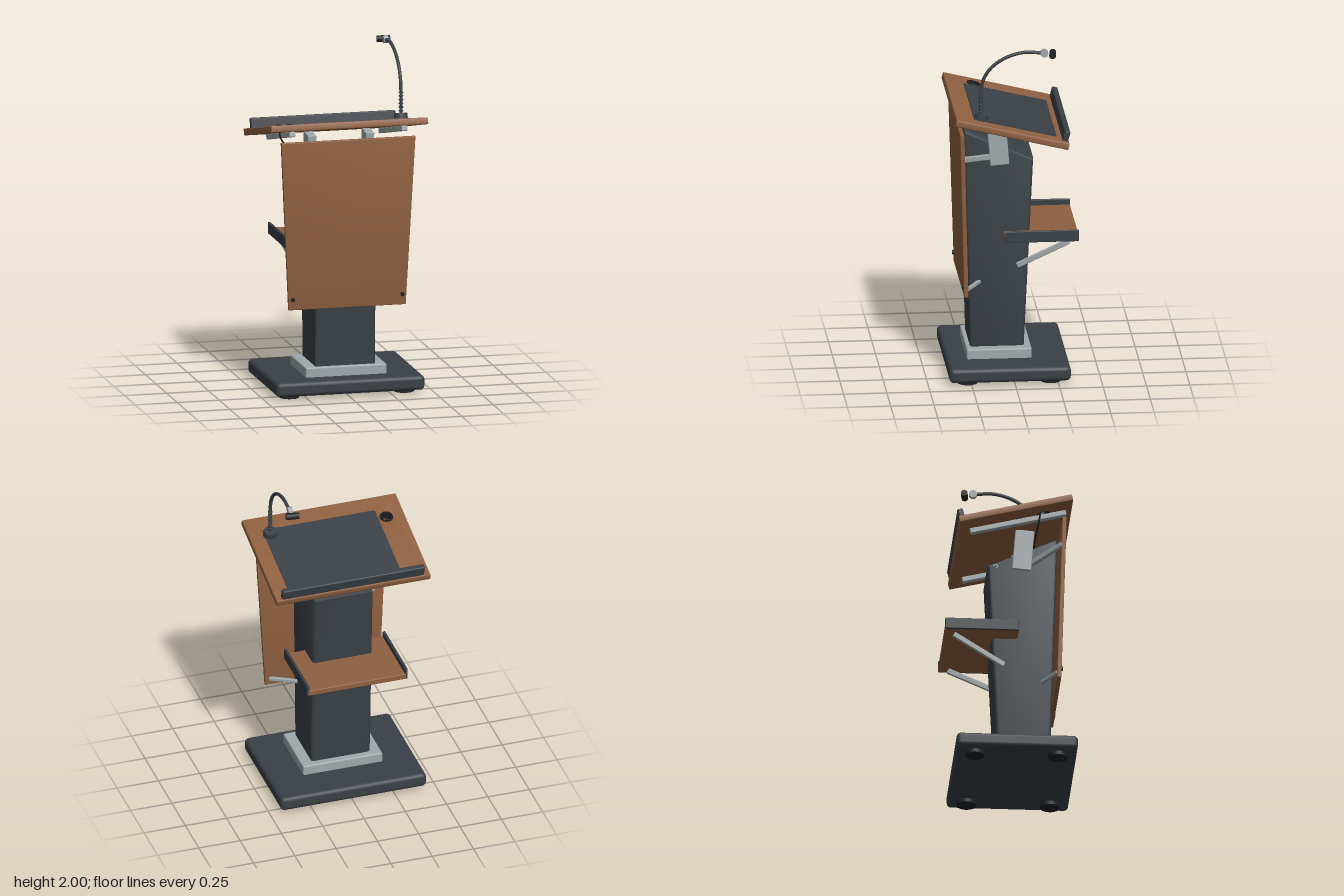
import * as THREE from 'three';
import { RoundedBoxGeometry } from 'three/addons/geometries/RoundedBoxGeometry.js';
import { toCreasedNormals } from 'three/addons/utils/BufferGeometryUtils.js';

const mat = (color) => new THREE.MeshStandardMaterial({ color });
const wood = mat(0x8f6040), dark = mat(0x3a4046), metal = mat(0xa0a8ab), black = mat(0x1e2124);
const V = (x, y, z) => new THREE.Vector3(x, y, z);

function add(parent, name, geo, material, x = 0, y = 0, z = 0) {
  const m = new THREE.Mesh(geo, material);
  m.name = name;
  m.position.set(x, y, z);
  parent.add(m);
  return m;
}

const rbox = (w, h, d, r = 0.005) => new RoundedBoxGeometry(w, h, d, 3, r);

// Bevelled plate: outline in XY, thickness centred on z
function plate(shape, depth, bevel) {
  const g = new THREE.ExtrudeGeometry(shape, {
    depth: depth - 2 * bevel, bevelThickness: bevel, bevelSize: bevel, bevelOffset: -bevel,
    bevelSegments: 3, curveSegments: 32,
  });
  g.translate(0, 0, -depth / 2 + bevel);
  return toCreasedNormals(g, 0.6);
}

const polygon = (pts) => new THREE.Shape(pts.map(([x, y]) => new THREE.Vector2(x, y)));

// Bar running from a to b
function bar(parent, name, a, b, geo, material) {
  const m = add(parent, name, geo(a.distanceTo(b)), material);
  m.position.copy(a).lerp(b, 0.5);
  m.lookAt(b);
  return m;
}
const flatBar = (w, h) => (len) => rbox(w, h, len);
const rod = (r0, r1 = r0) => (len) => new THREE.CylinderGeometry(r1, r0, len, 20).rotateX(Math.PI / 2);

export function createModel() {
  const model = new THREE.Group();
  model.name = 'lectern';

  // Base, feet and plinth
  add(model, 'base', rbox(0.88, 0.085, 0.7, 0.025), dark, 0, 0.065, 0.03);
  for (const x of [-0.34, 0.34])
    for (const z of [-0.21, 0.27])
      add(model, 'foot', new THREE.CylinderGeometry(0.057, 0.057, 0.03, 28), black, x, 0.015, z);
  add(model, 'plinth', rbox(0.48, 0.065, 0.375, 0.008), metal, 0, 0.132, 0.077);

  // Column: side profile extruded across the width
  const column = plate(polygon([[-0.07, 0.155], [0.24, 0.155], [0.278, 1.47], [-0.125, 1.29]]), 0.36, 0.02);
  add(model, 'column', column.rotateY(-Math.PI / 2), dark);

  // Front panel
  const panel = new THREE.Group();
  panel.name = 'frontPanel';
  panel.position.set(0, 0.515, 0.277);
  panel.rotation.x = 0.028;
  model.add(panel);
  add(panel, 'panelBoard', plate(polygon([[-0.347, 0], [0.347, 0], [0.398, 0.993], [-0.398, 0.993]]), 0.025, 0.004), wood);

  for (const s of [-1, 1]) {
    add(panel, 'panelScrew', rod(0.012)(0.012), black, s * 0.325, 0.062, 0.015);
    // Panel stand-offs
    bar(model, 'lowerStandoff', V(s * 0.325, 0.555, 0.27), V(s * 0.17, 0.555, 0.185), flatBar(0.02, 0.022), metal);
    bar(model, 'upperStandoff', V(s * 0.36, 1.35, 0.295), V(s * 0.17, 1.305, 0.12), flatBar(0.025, 0.032), metal);
    // Desk support arms
    const arm = add(model, 'deskArm', rbox(0.05, 0.25, 0.11), metal, s * 0.172, 1.385, 0.08);
    arm.rotation.x = 0.08;
    // Shelf struts
    bar(model, 'shelfStrut', V(s * 0.19, 0.652, -0.03), V(s * 0.25, 0.81, -0.325), flatBar(0.02, 0.032), metal);
    add(model, 'shelfLip', rbox(0.016, 0.068, 0.425), dark, s * 0.298, 0.857, -0.165);
  }
  add(model, 'shelf', rbox(0.6, 0.034, 0.425), wood, 0, 0.84, -0.165);

  // Tilted desk
  const desk = new THREE.Group();
  desk.name = 'desk';
  desk.position.set(0, 1.524, 0.02);
  desk.rotation.x = -0.239;
  model.add(desk);
  const top = polygon([[-0.465, -0.335], [0.465, -0.335], [0.465, 0.335], [-0.465, 0.335]]);
  const hole = new THREE.Path();
  hole.absarc(-0.355, -0.165, 0.034, 0, Math.PI * 2, true);
  top.holes.push(hole);
  add(desk, 'deskTop', plate(top, 0.04, 0.005).rotateX(-Math.PI / 2), wood);
  add(desk, 'writingPad', new THREE.BoxGeometry(0.68, 0.006, 0.49), dark, 0.035, 0.022, -0.018);
  add(desk, 'bookStop', rbox(0.86, 0.065, 0.034, 0.008), dark, 0, 0.047, -0.312);
  for (const s of [-1, 1])
    add(desk, 'deskRail', rbox(0.035, 0.032, 0.57), metal, s * 0.333, -0.035, 0.012);

  // Cable grommet: ring-shaped sleeve
  const sleeve = [[0.028, -0.021], [0.034, -0.021], [0.034, 0.02], [0.04, 0.02], [0.038, 0.027], [0.03, 0.027], [0.028, -0.021]];
  const ring = new THREE.LatheGeometry(sleeve.map(([x, y]) => new THREE.Vector2(x, y)), 36);
  add(desk, 'cableGrommet', toCreasedNormals(ring, 0.6), black, -0.355, 0, 0.165).material.side = THREE.DoubleSide;

  // Cable from the grommet into the column, with its two hooks
  const cablePath = new THREE.CatmullRomCurve3([
    V(-0.358, 1.575, 0.17), V(-0.37, 1.53, 0.165), V(-0.34, 1.47, 0.155), V(-0.25, 1.43, 0.145), V(-0.165, 1.4, 0.14)]);
  add(model, 'cable', new THREE.TubeGeometry(cablePath, 30, 0.005, 8), black);
  for (const [x, y] of [[0.17, 1.405], [-0.192, 1.275]])
    add(model, 'cableHook', new THREE.TorusGeometry(0.011, 0.005, 8, 20, 4.7).rotateY(Math.PI / 2), metal, x, y, -0.08);

  // Gooseneck microphone
  const mic = new THREE.Group();
  mic.name = 'microphone';
  mic.position.x = 0.342;
  model.add(mic);
  add(mic, 'micBase', new THREE.CylinderGeometry(0.038, 0.042, 0.045, 32), dark, 0, 1.598, 0.19).rotation.x = -0.239;
  const neck = new THREE.CatmullRomCurve3([
    V(0, 1.6, 0.193), V(0, 1.75, 0.193), V(0, 1.83, 0.177), V(0, 1.9, 0.13),
    V(0, 1.957, 0.045), V(0, 1.985, -0.06), V(0, 1.977, -0.17)]);
  add(mic, 'gooseneck', new THREE.TubeGeometry(neck, 60, 0.01, 12), dark);
  for (let i = 0; i < 6; i++)
    add(mic, 'neckRing', new THREE.TorusGeometry(0.01, 0.004, 8, 20).rotateX(Math.PI / 2), dark, 0, 1.635 + i * 0.022, 0.193);
  bar(mic, 'micCollar', V(0, 1.979, -0.16), V(0, 1.975, -0.186), rod(0.023), metal);
  bar(mic, 'micHead', V(0, 1.976, -0.184), V(0, 1.965, -0.26), rod(0.02, 0.019), black);

  return model;
}
